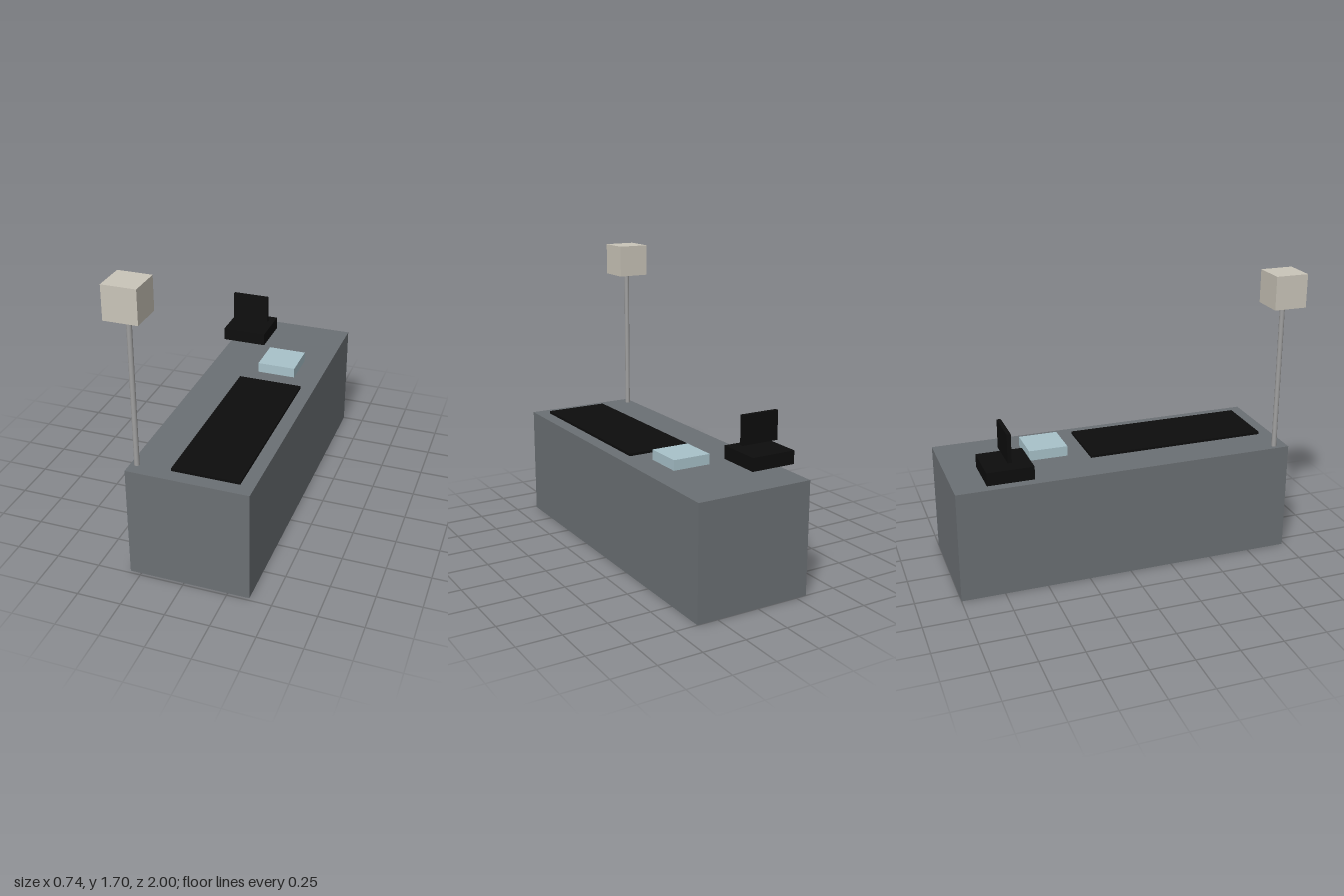
import * as THREE from 'three';

const material = (name, color) => {
  const m = new THREE.MeshStandardMaterial({ color });
  m.name = name;
  return m;
};

export function createModel() {
  const group = new THREE.Group();
  group.name = 'checkoutCounter';

  const grey = material('counterGrey', 0x6b7074);
  const black = material('black', 0x0d0d0d);
  const glass = material('paleBlue', 0xa8c2ca);
  const steel = material('poleGrey', 0xa0a0a0);
  const cream = material('lampCream', 0xcac5b9);

  // Box given by its lower and upper bounds on each axis
  const box = (name, mat, [x0, x1], [y0, y1], [z0, z1]) => {
    const mesh = new THREE.Mesh(new THREE.BoxGeometry(x1 - x0, y1 - y0, z1 - z0), mat);
    mesh.position.set((x0 + x1) / 2, (y0 + y1) / 2, (z0 + z1) / 2);
    mesh.name = name;
    group.add(mesh);
  };

  // Counter body with conveyor belt and scanner on top
  box('counter', grey, [-0.314, 0.372], [0, 0.65], [-1, 0.983]);
  box('conveyorBelt', black, [-0.087, 0.294], [0.65, 0.665], [-0.165, 0.903]);
  box('scanner', glass, [-0.01, 0.217], [0.65, 0.709], [-0.511, 0.283 * -1]);

  // Register and its screen, both floating above the counter
  box('register', black, [-0.336, -0.068], [0.687, 0.763], [-0.831, -0.566]);
  box('registerScreen', black, [-0.314, -0.087], [0.793, 0.96], [-0.708, -0.685]);

  // Lane light on a pole
  const pole = new THREE.Mesh(new THREE.CylinderGeometry(0.0145, 0.0145, 0.858, 12), steel);
  pole.position.set(-0.278, 0.65 + 0.429, 0.906);
  pole.name = 'lightPole';
  group.add(pole);
  box('laneLight', cream, [-0.372, -0.184], [1.508, 1.697], [0.811, 1]);

  return group;
}
